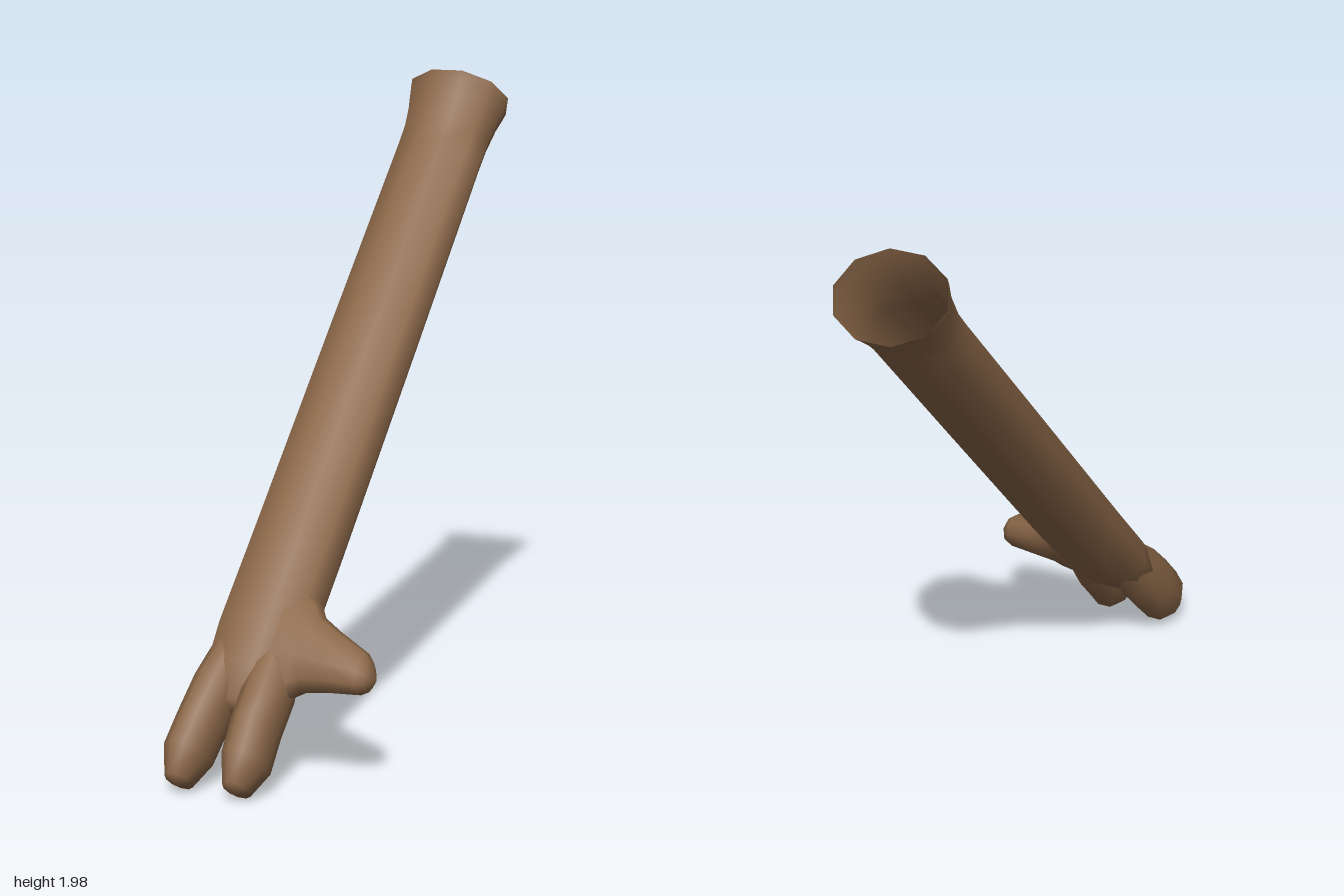
import * as THREE from 'three';
import { mergeVertices } from 'three/addons/utils/BufferGeometryUtils.js';

const SIDES = 10;

// Smooth skin through elliptical rings [y, centreX, centreZ, radiusX, radiusZ], listed upwards
function loft(rings) {
  const pos = [], index = [];
  for (const [y, cx, cz, rx, rz] of rings) {
    for (let j = 0; j < SIDES; j++) {
      const a = (j / SIDES) * Math.PI * 2;
      pos.push(cx + rx * Math.cos(a), y, cz + rz * Math.sin(a));
    }
  }
  for (let i = 0; i < rings.length - 1; i++) {
    for (let j = 0; j < SIDES; j++) {
      const a = i * SIDES + j, b = i * SIDES + (j + 1) % SIDES;
      const c = a + SIDES, d = b + SIDES;
      index.push(a, c, b, b, c, d);
    }
  }
  let geo = new THREE.BufferGeometry();
  geo.setAttribute('position', new THREE.Float32BufferAttribute(pos, 3));
  geo.setIndex(index);
  geo = mergeVertices(geo, 1e-5);
  geo.computeVertexNormals();
  return geo;
}

export function createModel() {
  const model = new THREE.Group();
  model.name = 'armModel';
  const brown = new THREE.MeshStandardMaterial({ color: 0x8c6849, side: THREE.DoubleSide });
  brown.name = 'brown';

  // Everything is built along y, then the whole arm is leaned back
  const arm = new THREE.Group();
  arm.name = 'arm';
  arm.position.set(-0.12, 0.985, 0);
  arm.rotation.x = -0.7585;
  model.add(arm);

  const add = (name, rings) => {
    const mesh = new THREE.Mesh(loft(rings), brown);
    mesh.name = name;
    arm.add(mesh);
    return mesh;
  };

  // Hollow sleeve: closed palm at the bottom, flared open rim at the top
  add('sleeveAndPalm', [
    [-1.07, 0, 0.01, 0, 0],
    [-1.04, 0, 0.01, 0.09, 0.04],
    [-0.94, 0, 0.008, 0.148, 0.088],
    [-0.8, 0, 0.004, 0.157, 0.104],
    [-0.5, 0, 0, 0.157, 0.106],
    [0.3, 0, 0, 0.156, 0.106],
    [1.0, 0, 0, 0.153, 0.106],
    [1.08, 0, 0, 0.154, 0.108],
    [1.17, 0, 0.004, 0.163, 0.12],
    [1.225, 0, 0.008, 0.174, 0.135],
    [1.25, 0, 0.01, 0.176, 0.144],
  ]);

  // Two stubby fingers, buried in the palm at their upper ends
  for (const [name, x] of [['rightFinger', -0.1], ['leftFinger', 0.09]]) {
    const s = Math.sign(x);
    add(name, [
      [-1.318, x, 0.01, 0, 0],
      [-1.302, x, 0.01, 0.042, 0.052],
      [-1.215, x, 0.01, 0.072, 0.094],
      [-1.1, x - s * 0.008, 0.01, 0.073, 0.097],
      [-0.98, s * 0.082, 0.008, 0.076, 0.094],
      [-0.8, s * 0.06, 0.004, 0.07, 0.07],
    ]);
  }

  // Tapered thumb pointing sideways, with a wide flared root
  const thumb = add('thumb', [
    [0.08, 0.82, 0.01, 0.2, 0.085],
    [0.15, 0.835, 0.014, 0.165, 0.078],
    [0.185, 0.85, 0.018, 0.125, 0.072],
    [0.25, 0.865, 0.02, 0.1, 0.066],
    [0.36, 0.89, 0.022, 0.066, 0.054],
    [0.385, 0.898, 0.022, 0.045, 0.042],
    [0.41, 0.905, 0.022, 0, 0],
  ]);
  thumb.rotation.z = -Math.PI / 2;

  return model;
}
